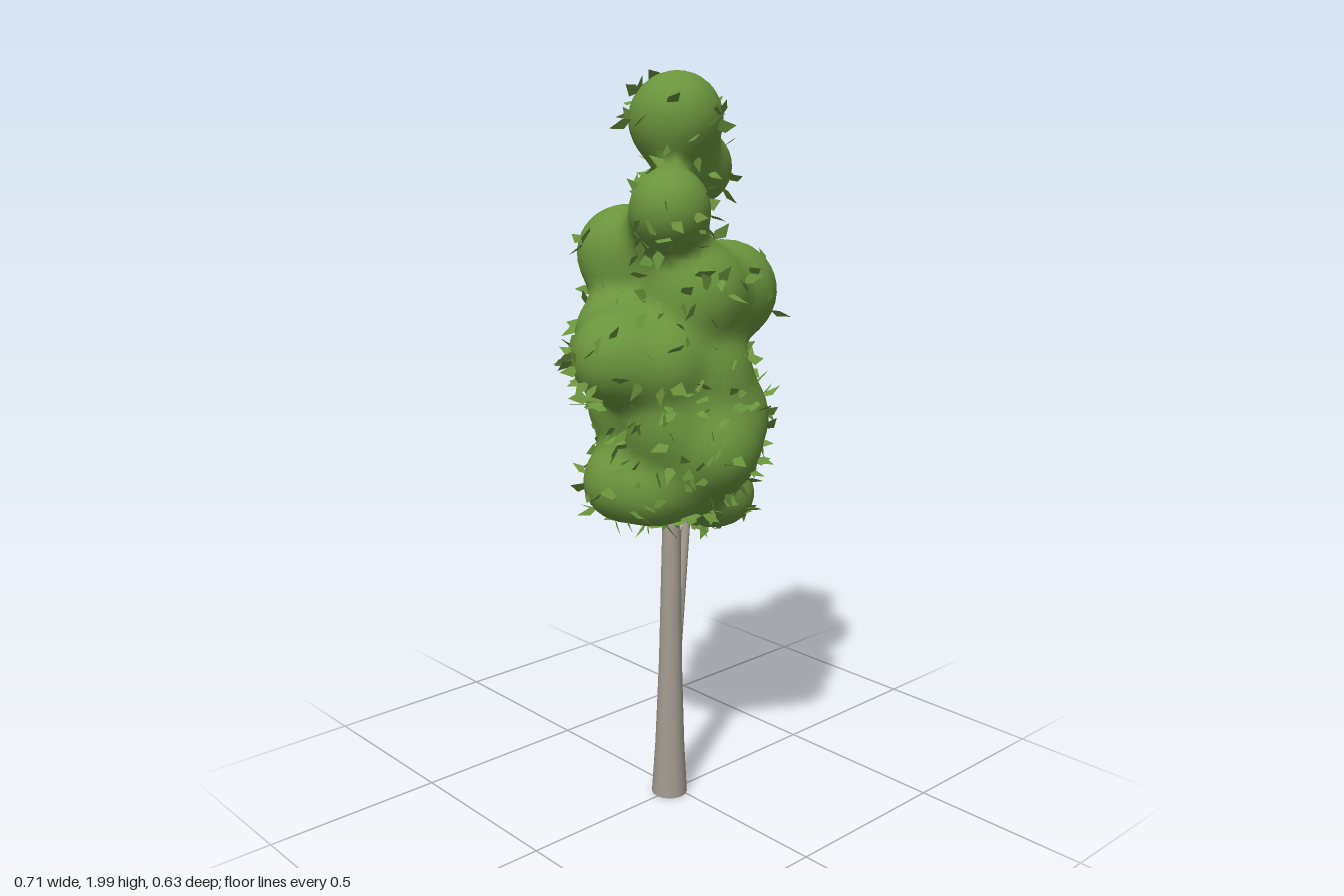
import * as THREE from 'three';

const V = (x, y, z) => new THREE.Vector3(x, y, z);

// Foliage lobes: x, y, z, radius
const LOBES = [
  // top and upper lobes
  [0, 1.872, 0.012, 0.104], [0, 1.86, -0.035, 0.085], [0.132, 1.74, -0.068, 0.095], [0.05, 1.76, -0.02, 0.055],
  [-0.105, 1.65, 0.09, 0.098], [-0.04, 1.6, 0.01, 0.085], [-0.05, 1.52, -0.15, 0.124],
  // wide middle
  [0.195, 1.38, -0.145, 0.13], [0.16, 1.42, 0.03, 0.13], [0, 1.43, 0.08, 0.122],
  [-0.215, 1.28, 0.01, 0.114], [-0.12, 1.32, -0.1, 0.105], [-0.13, 1.26, 0.09, 0.09], [0.08, 1.35, -0.08, 0.13],
  // lower middle
  [0.02, 1.22, 0.08, 0.122], [0.12, 1.15, -0.13, 0.125], [-0.08, 1.13, -0.09, 0.115],
  [0, 1.03, 0.14, 0.118], [0.09, 1.1, 0.1, 0.105], [0.14, 1.1, -0.01, 0.105], [-0.1, 1.1, 0.07, 0.1],
  // underside
  [-0.14, 0.925, -0.065, 0.098], [-0.12, 0.92, 0.04, 0.085], [-0.02, 0.925, 0.06, 0.085],
  [-0.05, 0.93, -0.1, 0.08], [0.09, 0.85, 0.03, 0.06], [0.165, 0.855, -0.03, 0.068], [0.16, 0.855, 0.035, 0.068],
];
const BLEND = 0.03;

// Smooth union of all lobes; negative inside
function field(p) {
  let s = 0;
  for (const [x, y, z, r] of LOBES) s += Math.exp((r - Math.hypot(p.x - x, p.y - y, p.z - z)) / BLEND);
  return -BLEND * Math.log(s + 1e-30);
}

function gradient(p) {
  const e = 0.002, f = (x, y, z) => field(V(p.x + x, p.y + y, p.z + z));
  return V(f(e, 0, 0) - f(-e, 0, 0), f(0, e, 0) - f(0, -e, 0), f(0, 0, e) - f(0, 0, -e)).divideScalar(2 * e);
}

// Skin the lobes with one vertex per boundary cell and one quad per crossing edge
function crownGeometry() {
  const h = 0.027, n = [30, 50, 28], lo = V(-0.4, 0.7, -0.38);
  const step = [1, n[0], n[0] * n[1]], total = n[0] * n[1] * n[2];
  const coords = (i) => [i % n[0], Math.floor(i / n[0]) % n[1], Math.floor(i / step[2])];
  const point = (i) => V(...coords(i)).multiplyScalar(h).add(lo);
  const value = [], cell = new Map(), pos = [], nor = [], index = [];
  for (let i = 0; i < total; i++) value.push(field(point(i)));

  for (let i = 0; i < total; i++) {
    if (coords(i).some((c, a) => c >= n[a] - 1)) continue;
    const sum = V(0, 0, 0);
    let count = 0;
    for (let k = 0; k < 8; k++) {
      for (let a = 0; a < 3; a++) {
        if (k & (1 << a)) continue;
        const p = i + (k & 1) * step[0] + ((k >> 1) & 1) * step[1] + (k >> 2) * step[2];
        const q = p + step[a];
        if (value[p] < 0 === value[q] < 0) continue;
        sum.add(point(p).lerp(point(q), value[p] / (value[p] - value[q])));
        count++;
      }
    }
    if (!count) continue;
    const v = sum.divideScalar(count), g = gradient(v);
    v.addScaledVector(g, -field(v) / Math.max(g.lengthSq(), 0.3));
    cell.set(i, pos.length / 3);
    pos.push(v.x, v.y, v.z);
    nor.push(...gradient(v).normalize().toArray());
  }

  for (let i = 0; i < total; i++) {
    for (let a = 0; a < 3; a++) {
      if (coords(i)[a] >= n[a] - 1 || value[i] < 0 === value[i + step[a]] < 0) continue;
      const b = step[(a + 1) % 3], c = step[(a + 2) % 3];
      const q = [i, i - b, i - b - c, i - c].map((k) => cell.get(k));
      if (q.includes(undefined)) continue;
      if (value[i] > 0) q.reverse();
      index.push(q[0], q[1], q[2], q[0], q[2], q[3]);
    }
  }
  const geo = new THREE.BufferGeometry();
  geo.setAttribute('position', new THREE.Float32BufferAttribute(pos, 3));
  geo.setAttribute('normal', new THREE.Float32BufferAttribute(nor, 3));
  geo.setIndex(index);
  return geo;
}

// Small kite-shaped leaves poking out of the crown, sparse on upward faces
function leavesGeometry(crown, amount) {
  let seed = 7;
  const rnd = () => (seed = (seed * 16807) % 2147483647) / 2147483647;
  const dir = () => V(rnd() - 0.5, rnd() - 0.5, rnd() - 0.5).normalize();
  const P = crown.attributes.position, N = crown.attributes.normal, pos = [];
  for (let made = 0; made < amount;) {
    const i = Math.floor(rnd() * P.count);
    const p = V().fromBufferAttribute(P, i), n = V().fromBufferAttribute(N, i);
    if (n.y > 0.55 && rnd() > 0.15) continue;
    if (p.y > 1.3 && rnd() > 0.7) continue;
    made++;
    const out = n.clone().multiplyScalar(0.5).add(dir().multiplyScalar(0.8)).normalize();
    if (out.dot(n) < 0.1) out.addScaledVector(n, 0.4).normalize();
    const side = V().crossVectors(out, dir()).normalize();
    const len = 0.038 + 0.027 * rnd(), wide = 0.01 + 0.01 * rnd();
    const at = (u, w) => p.clone().addScaledVector(n, -0.006).addScaledVector(out, u * len).addScaledVector(side, w * wide);
    const a = at(0, -0.6), b = at(0.25 + 0.2 * rnd(), 1), c = at(1, 0.2), d = at(0.4, -1);
    for (const v of [a, b, c, a, c, d]) pos.push(v.x, v.y, v.z);
  }
  const geo = new THREE.BufferGeometry();
  geo.setAttribute('position', new THREE.Float32BufferAttribute(pos, 3));
  geo.computeVertexNormals();
  return geo;
}

export function createModel() {
  const tree = new THREE.Group();
  tree.name = 'tree';
  const bark = new THREE.MeshStandardMaterial({ name: 'greyBark', color: 0xa39b91, side: THREE.DoubleSide });
  const green = new THREE.MeshStandardMaterial({ name: 'leafGreen', color: 0x6b943d, side: THREE.DoubleSide });
  const add = (name, geo, mat) => {
    const mesh = new THREE.Mesh(geo, mat);
    mesh.name = name;
    tree.add(mesh);
    return mesh;
  };

  // Flared trunk, open at the foot, leaning very slightly
  const profile = [[0.05, 0], [0.041, 0.15], [0.032, 0.4], [0.025, 0.8], [0.016, 1.1]];
  const trunk = add('trunk', new THREE.LatheGeometry(profile.map(([r, y]) => new THREE.Vector2(r, y)), 16), bark);
  trunk.position.set(-0.023, 0, -0.002);
  trunk.rotation.z = -0.01;

  // Side branch in two tapering lengths
  const joints = [[V(-0.005, 0.28, -0.01), 0.018], [V(0.1, 0.77, -0.066), 0.012], [V(0.155, 1.02, -0.085), 0.009]];
  for (let i = 0; i < 2; i++) {
    const [from, r0] = joints[i], [to, r1] = joints[i + 1];
    const along = to.clone().sub(from);
    const branch = add('sideBranch', new THREE.CylinderGeometry(r1, r0, along.length(), 10, 1, true), bark);
    branch.position.copy(from).add(to).multiplyScalar(0.5);
    branch.quaternion.setFromUnitVectors(V(0, 1, 0), along.normalize());
  }

  // Crown and leaves
  const crown = crownGeometry();
  add('crown', crown, green);
  add('leaves', leavesGeometry(crown, 480), green);
  return tree;
}
